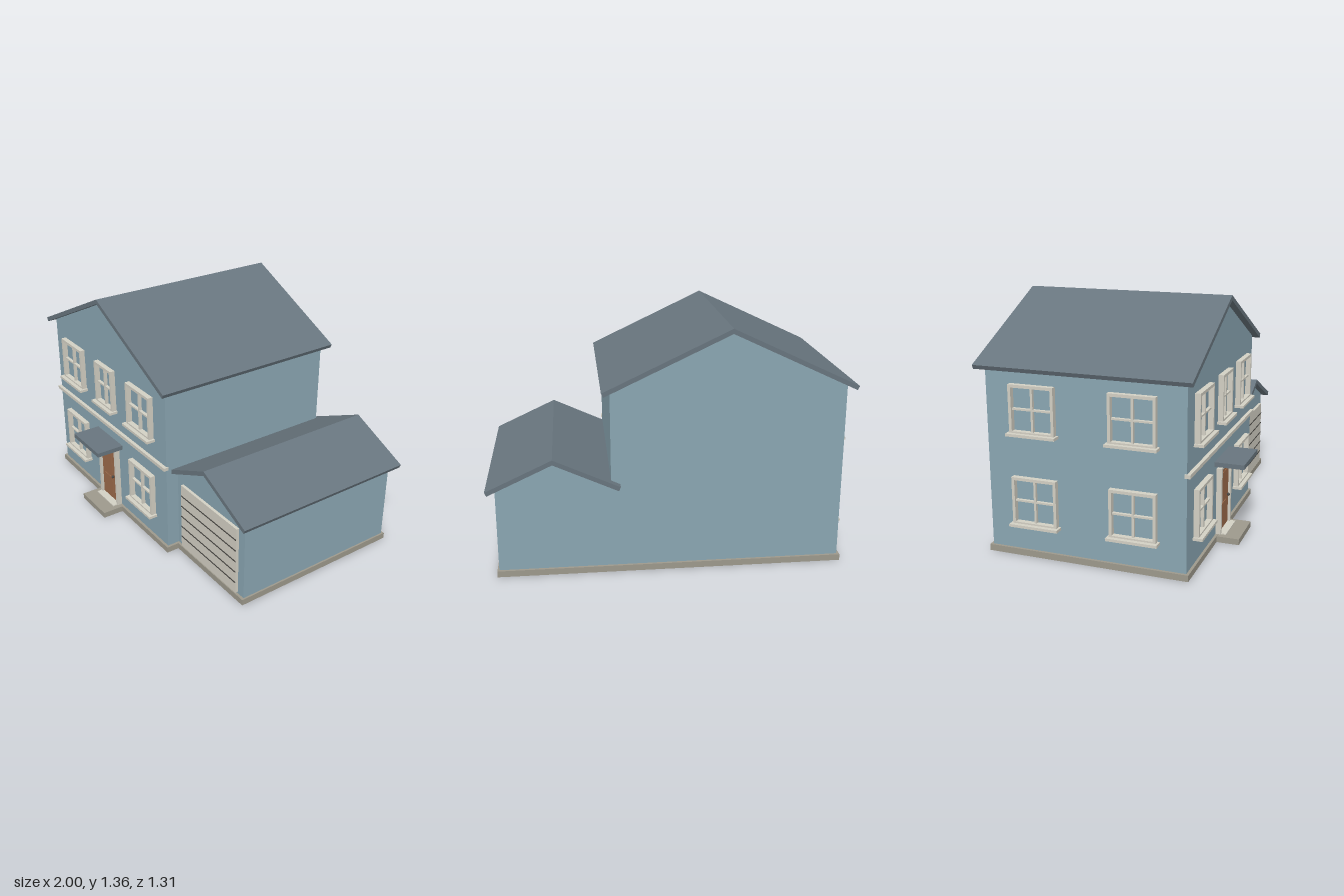
import * as THREE from 'three';

const mat = (name, color, side = THREE.FrontSide) => {
  const m = new THREE.MeshStandardMaterial({ color, side });
  m.name = name;
  return m;
};

export function createModel() {
  const siding = mat('blue siding', 0x8aa6b2);
  const roofing = mat('slate roofing', 0x68757e);
  const trim = mat('cream trim', 0xd3d0c4);
  const stone = mat('foundation stone', 0x9d998c);
  const wood = mat('brown door', 0x9b6a4a);
  const dark = mat('dark metal', 0x4a4844);

  const house = new THREE.Group();
  house.name = 'house';

  const add = (name, geometry, material, parent = house) => {
    const mesh = new THREE.Mesh(geometry, material);
    mesh.name = name;
    parent.add(mesh);
    return mesh;
  };
  // Box given by its limits on each axis
  const box = (name, x0, x1, y0, y1, z0, z1, material, parent) => {
    const mesh = add(name, new THREE.BoxGeometry(x1 - x0, y1 - y0, z1 - z0), material, parent);
    mesh.position.set((x0 + x1) / 2, (y0 + y1) / 2, (z0 + z1) / 2);
    return mesh;
  };
  // Outline in x and y, extruded from z0 to z1
  const prism = (name, points, z0, z1, material) => {
    const shape = new THREE.Shape(points.map(p => new THREE.Vector2(...p)));
    const geometry = new THREE.ExtrudeGeometry(shape, { depth: z1 - z0, bevelEnabled: false });
    add(name, geometry.translate(0, 0, z0), material);
  };
  // Gabled wall block
  const walls = (name, x0, x1, eave, peak, z0, z1) => prism(name,
    [[x0, 0.035], [x1, 0.035], [x1, eave], [(x0 + x1) / 2, peak], [x0, eave]], z0, z1, siding);
  // Two roof slopes as one folded slab with square-cut eaves
  const roof = (name, cx, half, eave, peak, z0, z1, t = 0.025) => {
    const a = Math.atan2(peak - eave, half);
    const dx = t * Math.sin(a), dy = t * Math.cos(a);
    prism(name, [
      [cx - half, eave], [cx - half + dx, eave - dy], [cx, peak - t / Math.cos(a)],
      [cx + half - dx, eave - dy], [cx + half, eave], [cx, peak],
    ], z0, z1, roofing);
  };

  // Foundations and front step
  box('mainFoundation', -0.96, 0.345, 0, 0.035, -0.625, 0.505, stone);
  box('garageFoundation', 0.345, 0.96, 0, 0.035, -0.625, 0.43, stone);
  box('frontStep', -0.445, -0.175, 0, 0.034, 0.505, 0.632, stone);

  // Main house and garage
  walls('mainWalls', -0.945, 0.33, 1.045, 1.345, -0.61, 0.49);
  roof('mainRoof', -0.31, 0.686, 1.036, 1.36, -0.655, 0.53);
  walls('garageWalls', 0.33, 0.95, 0.523, 0.665, -0.61, 0.415);
  roof('garageRoof', 0.64, 0.36, 0.514, 0.681, -0.655, 0.457);
  box('floorBand', -0.955, 0.337, 0.545, 0.565, 0.48, 0.51, trim);

  // Window frame, cross bars and sill, facing +z with its back at z = 0
  const makeWindow = (w, h) => {
    const g = new THREE.Group();
    g.name = 'window';
    const x = w / 2, y = h / 2, b = 0.016;
    box('leftJamb', x - b, x, -y, y, 0, 0.03, trim, g);
    box('rightJamb', -x, -x + b, -y, y, 0, 0.03, trim, g);
    box('head', -x + b, x - b, y - b, y, 0, 0.03, trim, g);
    box('bottomRail', -x + b, x - b, -y, -y + b, 0, 0.03, trim, g);
    box('uprightBar', -0.006, 0.006, -y + b, y - b, 0, 0.018, trim, g);
    box('crossBar', -x + b, x - b, -0.005, 0.005, 0, 0.018, trim, g);
    box('sill', -x - 0.012, x + 0.012, -y - 0.008, -y + 0.007, 0, 0.053, trim, g);
    house.add(g);
    return g;
  };
  const low = 0.313, high = 0.813;
  for (const [x, y, w] of [[-0.705, low, 0.25], [0.08, low, 0.25],
    [-0.705, high, 0.25], [-0.31, high, 0.2], [0.08, high, 0.25]]) {
    makeWindow(w, 0.264).position.set(x, y, 0.49);
  }
  for (const z of [-0.34, 0.21]) for (const y of [low, high]) {
    const side = makeWindow(0.255, 0.264);
    side.position.set(-0.945, y, z);
    side.rotation.y = -Math.PI / 2;
  }

  // Front door with frame, panels, knob and canopy
  box('doorJambRight', -0.415, -0.395, 0.035, 0.42, 0.49, 0.52, trim);
  box('doorJambLeft', -0.222, -0.202, 0.035, 0.42, 0.49, 0.52, trim);
  box('doorHead', -0.395, -0.222, 0.408, 0.42, 0.49, 0.52, trim);
  box('threshold', -0.41, -0.207, 0.034, 0.04, 0.49, 0.55, trim);
  box('frontDoor', -0.395, -0.222, 0.04, 0.408, 0.485, 0.506, wood);
  for (const [y0, y1] of [[0.075, 0.195], [0.235, 0.375]]) {
    box('doorPanel', -0.37, -0.272, y0, y1, 0.506, 0.51, wood);
  }
  const knob = add('doorKnob', new THREE.SphereGeometry(0.009, 16, 10), dark);
  knob.position.set(-0.253, 0.215, 0.517);
  box('doorCanopy', -0.46, -0.16, 0.445, 0.471, 0.49, 0.656, roofing);

  // Garage door with five grooves
  const bottom = 0.045, top = 0.455, step = (top - bottom) / 6;
  box('garageDoor', 0.385, 0.9, bottom, top, 0.41, 0.432, trim);
  for (let i = 1; i < 6; i++) {
    const y = bottom + i * step;
    box('garageDoorGroove', 0.387, 0.898, y - 0.003, y + 0.003, 0.431, 0.435, dark);
  }
  return house;
}
